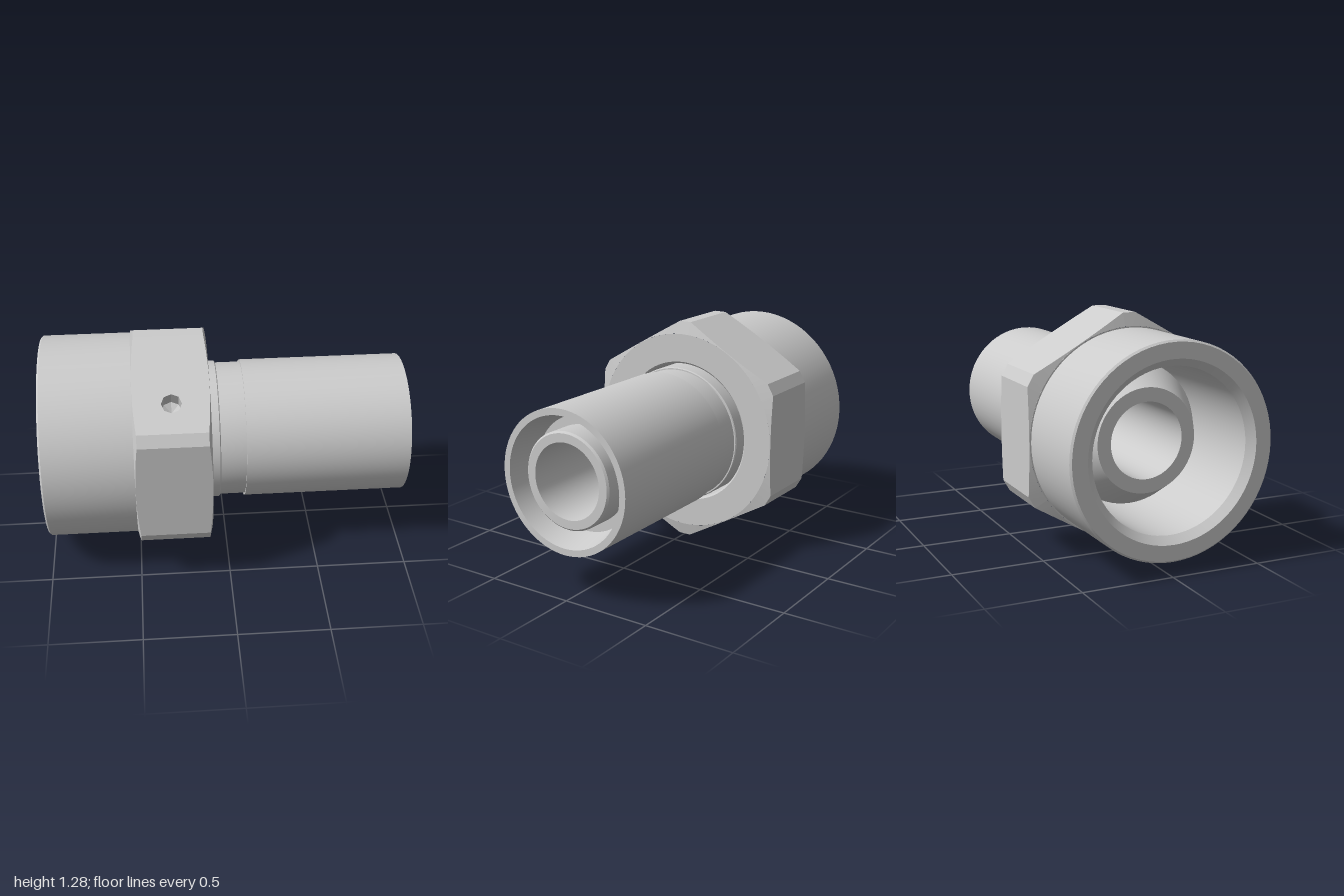
import * as THREE from 'three';
import { toCreasedNormals } from 'three/addons/utils/BufferGeometryUtils.js';

const AXIS_Y = 0.64;      // height of the fitting's axis, which runs along x
const APOTHEM = 0.573;    // hexagon centre to flat
const CORNER = 0.642;     // turned-down corner radius
const RIM = 0.57;         // chamfer radius on the hexagon ends
const X0 = -0.507, X1 = -0.095;

const material = new THREE.MeshStandardMaterial({ color: 0xcccccc });
const hollow = new THREE.MeshStandardMaterial({ color: 0xcccccc, side: THREE.DoubleSide });

function add(group, name, geometry, mat = material) {
  const mesh = new THREE.Mesh(geometry, mat);
  mesh.name = name;
  group.add(mesh);
  return mesh;
}

// Turned part: pairs of [radius, x], outer surface towards +x, bore towards -x
function turned(profile) {
  const geo = new THREE.LatheGeometry(profile.map(([r, x]) => new THREE.Vector2(r, x)), 72);
  geo.rotateZ(-Math.PI / 2);
  return toCreasedNormals(geo, 0.3);
}

// Point around the axis, angle measured from +z towards +y
const polar = (x, r, a) => [x, r * Math.sin(a), r * Math.cos(a)];

// Quads between two rows of points
function strip(rowA, rowB) {
  const pos = [];
  for (let i = 0; i < rowA.length - 1; i++) {
    pos.push(...rowA[i], ...rowA[i + 1], ...rowB[i + 1]);
    pos.push(...rowA[i], ...rowB[i + 1], ...rowB[i]);
  }
  const geo = new THREE.BufferGeometry();
  geo.setAttribute('position', new THREE.Float32BufferAttribute(pos, 3));
  return toCreasedNormals(geo, 0.3);
}

function hexagon() {
  const hex = new THREE.Group();
  hex.name = 'hexagon';
  const half = Math.acos(APOTHEM / CORNER);
  const steps = 16;
  const radius = a => APOTHEM / Math.cos(a);
  const inset = r => (r - RIM) * 0.25;
  const hole = { x: -0.3, v: -0.116, r: 0.055, depth: 0.09 };

  for (let i = 0; i < 6; i++) {
    const turn = i * Math.PI / 3;
    const angles = [];
    for (let k = 0; k <= steps; k++) angles.push(-half + 2 * half * k / steps);

    // Flat with curved ends where the chamfer cuts it
    const right = angles.map(a => new THREE.Vector2(X1 - inset(radius(a)), APOTHEM * Math.tan(a)));
    const left = angles.map(a => new THREE.Vector2(X0 + inset(radius(a)), APOTHEM * Math.tan(a)));
    const shape = new THREE.Shape([...right, ...left.reverse()]);
    if (i === 1) {
      const pts = [];
      for (let k = 0; k < 8; k++) {
        const a = -k * Math.PI / 4;
        pts.push(new THREE.Vector2(hole.x + hole.r * Math.cos(a), hole.v + hole.r * Math.sin(a)));
      }
      shape.holes.push(new THREE.Path(pts));

      // Drilled hole with a conical bottom
      const drill = new THREE.LatheGeometry([
        new THREE.Vector2(0, -hole.depth - 0.03),
        new THREE.Vector2(hole.r, -hole.depth),
        new THREE.Vector2(hole.r, 0),
      ], 8);
      drill.rotateX(Math.PI / 2).translate(hole.x, hole.v, APOTHEM).rotateX(-turn);
      add(hex, 'drilledHole', toCreasedNormals(drill, 0.3), hollow);
    }
    const flat = new THREE.ShapeGeometry(shape);
    flat.translate(0, 0, APOTHEM).rotateX(-turn);
    add(hex, 'hexFlat', flat);

    // Turned-down corner to the next flat
    const corner = [half, Math.PI / 3 - half].map(a => a + turn);
    const dx = inset(CORNER);
    add(hex, 'hexCorner', strip(
      corner.map(a => polar(X1 - dx, CORNER, a)),
      corner.map(a => polar(X0 + dx, CORNER, a))));

    // Conical chamfers at both ends
    const round = [...angles.map(a => [a + turn, radius(a)]), [corner[1], CORNER]];
    add(hex, 'hexChamfer', strip(
      round.map(([a]) => polar(X1, RIM, a)),
      round.map(([a, r]) => polar(X1 - inset(r), r, a))));
    add(hex, 'hexChamfer', strip(
      round.map(([a, r]) => polar(X0 + inset(r), r, a)),
      round.map(([a]) => polar(X0, RIM, a))));
  }
  return hex;
}

export function createModel() {
  const model = new THREE.Group();
  model.name = 'pipeFitting';

  // Union nut: hexagon plus a bored sleeve
  const nut = new THREE.Group();
  nut.name = 'nut';
  nut.add(hexagon());
  add(nut, 'nutSleeve', turned([
    [RIM, X1], [0.41, X1], [0.4, X1 - 0.01], [0.4, -0.25], [0.43, -0.3],
    [0.43, -0.96], [0.47, -1], [0.553, -1], [0.563, -0.99], [0.563, X0], [RIM, X0],
  ]));
  model.add(nut);

  // Tube body: nose, collar, neck, barrel, tapered socket and inner spigot
  add(model, 'tubeBody', turned([
    [0.205, -0.7], [0.28, -0.7], [0.387, -0.5], [0.387, -0.045], [0.382, -0.04],
    [0.375, -0.04], [0.375, 0.1], [0.387, 0.1], [0.387, 1], [0.351, 1],
    [0.312, 0.82], [0.262, 0.82], [0.262, 0.96], [0.252, 0.97], [0.205, 0.97], [0.205, -0.7],
  ]));

  model.children.forEach(part => { part.position.y = AXIS_Y; });
  return model;
}
